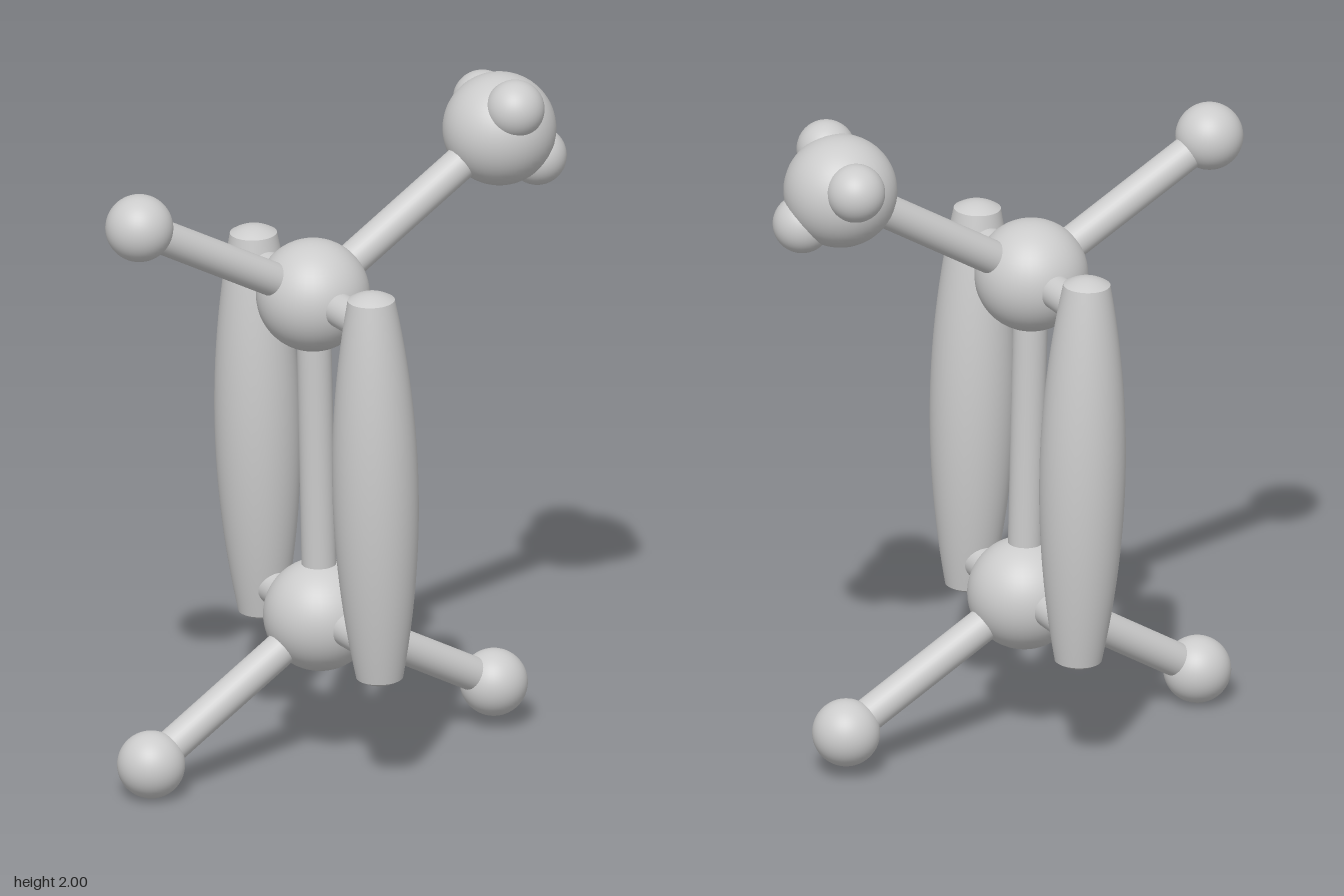
import * as THREE from 'three';

const material = new THREE.MeshStandardMaterial({ color: 0xcccccc });
const vec = (a) => new THREE.Vector3(...a);
const UP = new THREE.Vector3(0, 1, 0);

function ball(name, position, radius) {
  const mesh = new THREE.Mesh(new THREE.SphereGeometry(radius, 40, 28), material);
  mesh.name = name;
  mesh.position.set(...position);
  return mesh;
}

// Plain rod from point a to point b
function rod(name, a, b, radius = 0.05) {
  const start = vec(a), end = vec(b);
  const dir = end.clone().sub(start);
  const mesh = new THREE.Mesh(new THREE.CylinderGeometry(radius, radius, dir.length(), 32), material);
  mesh.name = name;
  mesh.position.copy(start).add(end).multiplyScalar(0.5);
  mesh.quaternion.setFromUnitVectors(UP, dir.normalize());
  return mesh;
}

// Barrel-shaped lobe between two rim centres, with shallow domed ends
function lobe(name, bottom, top) {
  const group = new THREE.Group();
  group.name = name;
  const a = vec(bottom), b = vec(top);
  const dir = b.clone().sub(a);
  const half = dir.length() / 2;
  const rim = 0.068, belly = 0.124, rise = 0.022;

  const side = [], dome = [];
  for (let i = 0; i <= 24; i++) {
    const t = i / 12 - 1;
    side.push(new THREE.Vector2(belly - (belly - rim) * t * t, t * half));
  }
  for (let i = 0; i <= 6; i++) {
    const t = 1 - i / 6;
    dome.push(new THREE.Vector2(rim * t, half + rise * (1 - t * t)));
  }
  const body = new THREE.Mesh(new THREE.LatheGeometry(side, 40), material);
  body.name = 'lobeBody';
  group.add(body);
  for (const turn of [0, Math.PI]) {
    const cap = new THREE.Mesh(new THREE.LatheGeometry(dome, 40), material);
    cap.name = 'lobeCap';
    cap.rotation.x = turn;
    group.add(cap);
  }
  group.position.copy(a).add(b).multiplyScalar(0.5);
  group.quaternion.setFromUnitVectors(UP, dir.normalize());
  return group;
}

export function createModel() {
  const model = new THREE.Group();
  model.name = 'molecule';

  const upper = [-0.07, 1.435, 0];
  const lower = [-0.045, 0.452, 0];
  const cluster = [0.555, 1.823, 0.053];

  // Large atoms and the rod joining the central pair
  model.add(ball('upperAtom', upper, 0.164));
  model.add(ball('lowerAtom', lower, 0.164));
  model.add(ball('clusterAtom', cluster, 0.164));
  model.add(rod('centralBond', lower, upper));
  model.add(rod('clusterBond', upper, cluster));

  // Small atoms at the ends of the outer rods
  const ends = [
    ['upperRight', upper, [-0.65, 1.75, -0.053]],
    ['lowerRight', lower, [-0.61, 0.1, -0.05]],
    ['lowerLeft', lower, [0.535, 0.133, 0.053]],
  ];
  for (const [name, from, to] of ends) {
    model.add(rod(name + 'Bond', from, to));
    model.add(ball(name + 'Atom', to, 0.098));
  }

  // Small atoms half sunk into the cluster
  for (const p of [[0.538, 1.915, 0.152], [0.588, 1.867, -0.075], [0.659, 1.73, 0.095]]) {
    model.add(ball('clusterSmallAtom', p, 0.085));
  }

  // Front and back lobes, each held by two short rods
  for (const [name, x, z] of [['front', -0.087, 0.326], ['back', -0.028, -0.326]]) {
    model.add(lobe(name + 'Lobe', [x + 0.015, 0.363, z], [x - 0.015, 1.523, z]));
    model.add(rod(name + 'UpperStrut', upper, [x - 0.013, 1.435, z]));
    model.add(rod(name + 'LowerStrut', lower, [x + 0.013, 0.452, z]));
  }
  return model;
}
